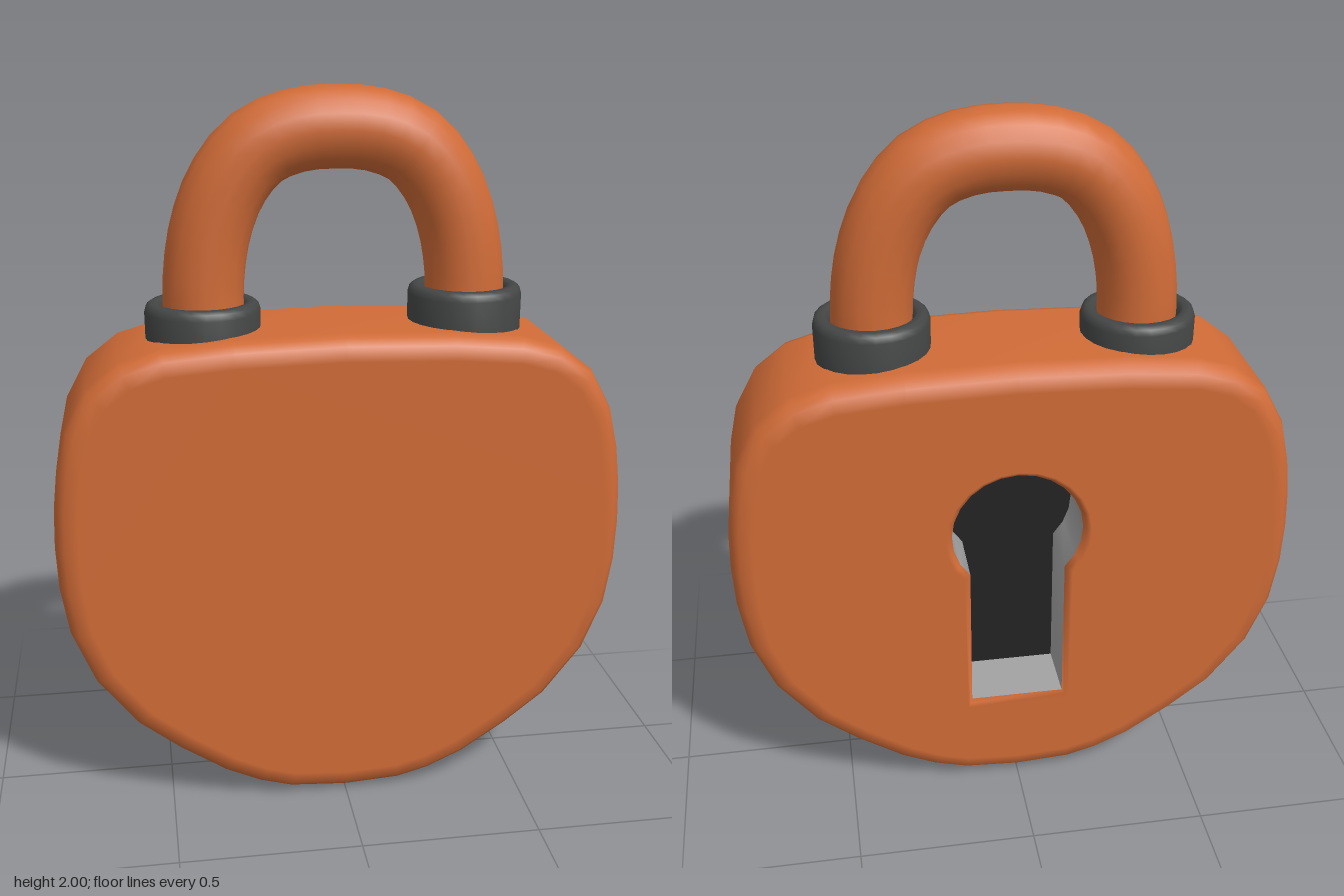
import * as THREE from 'three';
import { toCreasedNormals } from 'three/addons/utils/BufferGeometryUtils.js';

const paint = (name, color) => {
  const m = new THREE.MeshStandardMaterial({ color });
  m.name = name;
  return m;
};

// Shrink a counter-clockwise loop by d (negative d grows it)
function inset(loop, d) {
  const n = loop.length;
  return loop.map((p, i) => {
    const t = loop[(i + 1) % n].clone().sub(p).normalize()
      .add(p.clone().sub(loop[(i + n - 1) % n]).normalize()).normalize();
    return new THREE.Vector2(p.x - t.y * d, p.y + t.x * d);
  });
}

// Skin a loop along z; each ring is [inset, z]
function loft(loop, rings) {
  const n = loop.length, pos = [], idx = [];
  rings.forEach(([d, z], r) => {
    inset(loop, d).forEach((p, i) => {
      pos.push(p.x, p.y, z);
      if (r === rings.length - 1) return;
      const a = r * n + i, b = r * n + (i + 1) % n;
      idx.push(a, b, b + n, a, b + n, a + n);
    });
  });
  const g = new THREE.BufferGeometry();
  g.setAttribute('position', new THREE.Float32BufferAttribute(pos, 3));
  g.setIndex(idx);
  g.computeVertexNormals();
  return g;
}

// Give vertices lying on the flat faces a straight normal, to blend with the caps
function flattenEnds(g, zMax) {
  const p = g.attributes.position, nor = g.attributes.normal;
  for (let i = 0; i < p.count; i++) {
    if (Math.abs(p.getZ(i)) > zMax - 0.001) nor.setXYZ(i, 0, 0, Math.sign(p.getZ(i)));
  }
  return g;
}

export function createModel() {
  const group = new THREE.Group();
  const orange = paint('orange', 0xd06b37);
  const darkGrey = paint('dark grey', 0x444646);
  const lightGrey = paint('light grey', 0xa2a2a2);
  const black = paint('black', 0x242424);
  const add = (name, geometry, material) => {
    const mesh = new THREE.Mesh(geometry, material);
    mesh.name = name;
    group.add(mesh);
    return mesh;
  };

  // Body outline: right half from bottom to top, then mirrored
  const half = [
    [0, 0.005], [0.16, 0.015], [0.25, 0.04], [0.35, 0.085], [0.48, 0.17], [0.595, 0.26],
    [0.705, 0.4], [0.765, 0.545], [0.787, 0.68], [0.792, 0.8], [0.788, 0.91], [0.775, 1.02],
    [0.75, 1.13], [0.69, 1.24], [0.6, 1.31], [0.49, 1.343], [0.3, 1.36], [0, 1.368],
  ].map(([x, y]) => new THREE.Vector2(x, y));
  const outline = [...half, ...half.slice(1, -1).reverse().map(p => new THREE.Vector2(-p.x, p.y))];

  // Keyhole outline: round top and straight slot
  const keyhole = [];
  const start = -Math.acos(0.135 / 0.185);
  for (let i = 0; i <= 18; i++) {
    const a = start + (Math.PI - 2 * start) * i / 18;
    keyhole.push(new THREE.Vector2(0.185 * Math.cos(a), 0.86 + 0.185 * Math.sin(a)));
  }
  keyhole.push(new THREE.Vector2(-0.135, 0.29), new THREE.Vector2(0.135, 0.29));

  // Rounded rim of the body
  const D = 0.228;
  const edge = [[0, 0.165], [0.008, 0.195], [0.027, 0.217], [0.065, D]];
  const rings = [...edge.map(([d, z]) => [d, -z]).reverse(), ...edge];
  add('bodyRim', flattenEnds(loft(outline, rings), D), orange);

  // Front and back faces
  const face = () => new THREE.Shape(inset(outline, 0.065));
  add('bodyFront', new THREE.ShapeGeometry(face()).translate(0, 0, D), orange);
  const backShape = face();
  backShape.holes.push(new THREE.Path(inset(keyhole, -0.02)));
  add('bodyBack', new THREE.ShapeGeometry(backShape).rotateY(Math.PI).translate(0, 0, -D), orange);

  // Keyhole recess in the back face
  add('keyholeLip', flattenEnds(loft(keyhole, [[0, -0.205], [-0.008, -0.218], [-0.02, -D]]), D), orange);
  add('keyholeWall', toCreasedNormals(loft(keyhole, [[0, -0.03], [0, -0.205]]), 0.7), lightGrey);
  add('keyholeFloor', new THREE.ShapeGeometry(new THREE.Shape(keyhole))
    .rotateY(Math.PI).translate(0, 0, -0.03), black);

  // Shackle
  const arm = [[0.36, 1.33], [0.361, 1.48], [0.337, 1.63], [0.287, 1.75], [0.21, 1.838], [0.11, 1.88]];
  const path = [...arm, [0, 1.89], ...arm.map(([x, y]) => [-x, y]).reverse()]
    .map(([x, y]) => new THREE.Vector3(x, y, 0.006));
  add('shackle', new THREE.TubeGeometry(new THREE.CatmullRomCurve3(path), 28, 0.11, 16), orange);

  // Collars at the feet of the shackle
  for (const [name, x, z, top] of [['leftCollar', 0.363, 0.008, 1.46], ['rightCollar', -0.365, 0.003, 1.432]]) {
    const profile = [[0.1, 1.29], [0.157, 1.29], [0.158, top - 0.025], [0.153, top - 0.008],
      [0.142, top], [0.125, top], [0.116, top - 0.008], [0.106, top - 0.03]]
      .map(([r, y]) => new THREE.Vector2(r, y));
    const ring = toCreasedNormals(new THREE.LatheGeometry(profile, 24), 0.9);
    add(name, ring, darkGrey).position.set(x, 0, z);
  }
  return group;
}
